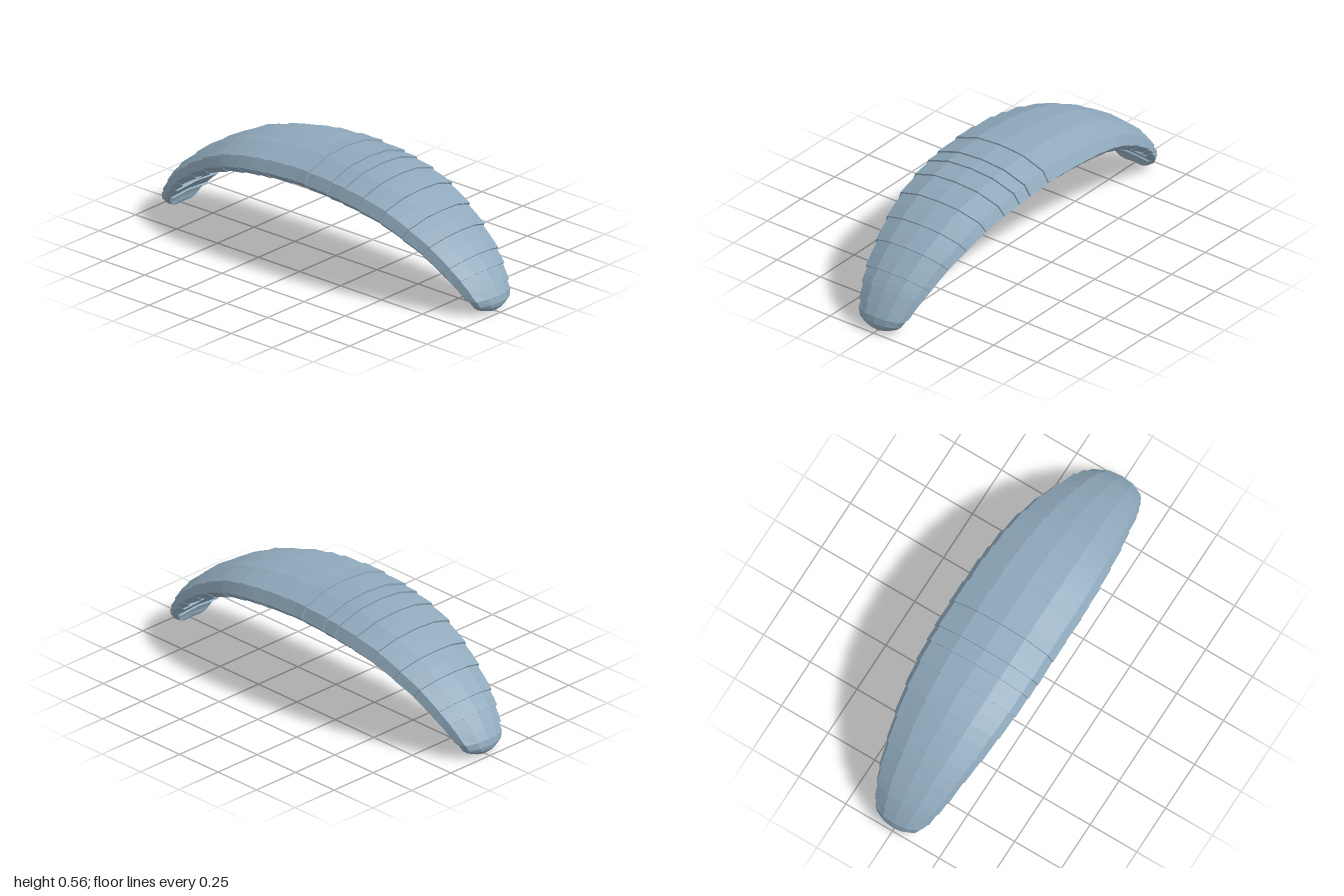
import * as THREE from 'three';

// Cross-section, +z half: [fraction of half width, depth below the outer spine]
const HALF = [[0, 0], [0.47, 0.01], [0.9, 0.052], [1, 0.105], [0.87, 0.14], [0, 0.128]];
const SECTION = [
  ...HALF,
  ...HALF.slice(1, 5).reverse().map(([u, d]) => [-u, d]),
];

// Plate boundaries along the outer spine: x, y, half width
const SPINE = [
  [-0.06, 0.559, 0.277], [0.06, 0.559, 0.277], [0.2, 0.547, 0.275], [0.28, 0.536, 0.271],
  [0.39, 0.514, 0.264], [0.52, 0.474, 0.25], [0.65, 0.408, 0.23], [0.76, 0.338, 0.206],
  [0.865, 0.25, 0.182], [0.92, 0.19, 0.163], [0.965, 0.123, 0.141],
];

// One ring of points; lift pushes the ring outwards to form a lip
function ring(x, y, w, thick, nx, ny, lift = 0) {
  return SECTION.map(([u, d]) => {
    const k = lift - d * thick;
    return [x + nx * k, y + ny * k, u * (w + lift * 0.7)];
  });
}

// Closed loft through rings with flat end caps
function loft(rings) {
  const n = SECTION.length;
  const pos = rings.flat(2);
  const index = [];
  for (let r = 0; r < rings.length - 1; r++) {
    for (let i = 0; i < n; i++) {
      const a = r * n + i, b = r * n + (i + 1) % n;
      index.push(a, b, a + n, b, b + n, a + n);
    }
  }
  const capCentre = (pts) => [0, 1, 2].map((k) => pts.reduce((s, p) => s + p[k], 0) / n);
  const last = rings.length - 1;
  const c0 = rings.length * n, c1 = c0 + 1;
  pos.push(...capCentre(rings[0]), ...capCentre(rings[last]));
  for (let i = 0; i < n; i++) {
    const j = (i + 1) % n;
    index.push(c0, j, i, c1, last * n + i, last * n + j);
  }
  const g = new THREE.BufferGeometry();
  g.setAttribute('position', new THREE.Float32BufferAttribute(pos, 3));
  g.setIndex(index);
  const flat = g.toNonIndexed();
  flat.computeVertexNormals();
  return flat;
}

export function createModel() {
  const group = new THREE.Group();
  const shell = new THREE.MeshStandardMaterial({ color: 0x8fa9bc, flatShading: true });
  shell.name = 'blue grey shell';

  const curve = new THREE.CatmullRomCurve3(SPINE.map((p) => new THREE.Vector3(...p)));
  const spans = SPINE.length - 1;
  const thickness = (w) => 0.25 + 0.75 * w / 0.278;

  // Ring on the spine at a position counted in plates
  function spineRing(s, lift) {
    const t = s / spans;
    const p = curve.getPoint(t), d = curve.getTangent(t);
    const len = Math.hypot(d.x, d.y);
    return ring(p.x, p.y, p.z, thickness(p.z), -d.y / len, d.x / len, lift);
  }

  function add(name, geometry, turned) {
    const mesh = new THREE.Mesh(geometry, shell);
    mesh.name = name;
    if (turned) mesh.rotation.y = Math.PI;
    group.add(mesh);
  }

  // Middle plate, lipped at both ends
  add('centrePlate', loft([spineRing(0, 0.003), spineRing(0.5, 0.001), spineRing(1, 0.003)]));

  // Overlapping plates, each overhanging the next one towards the tip
  for (let i = 1; i < spans; i++) {
    const g = loft([spineRing(i, -0.004), spineRing(i + 0.5, 0), spineRing(i + 1, 0.004)]);
    add(`leftPlate${i}`, g);
    add(`rightPlate${i}`, g, true);
  }

  // Rounded end plates
  const tip = loft([
    spineRing(spans, -0.004),
    ring(0.99, 0.08, 0.129, 0.59, 0.98, 0.18),
    ring(0.998, 0.05, 0.112, 0.56, 0.98, 0.18),
    ring(0.994, 0.03, 0.087, 0.5, 0.98, 0.18),
    ring(0.984, 0.015, 0.055, 0.37, 0.98, 0.18),
    ring(0.972, 0.005, 0.025, 0.18, 0.98, 0.18),
  ]);
  add('leftTip', tip);
  add('rightTip', tip, true);

  return group;
}
